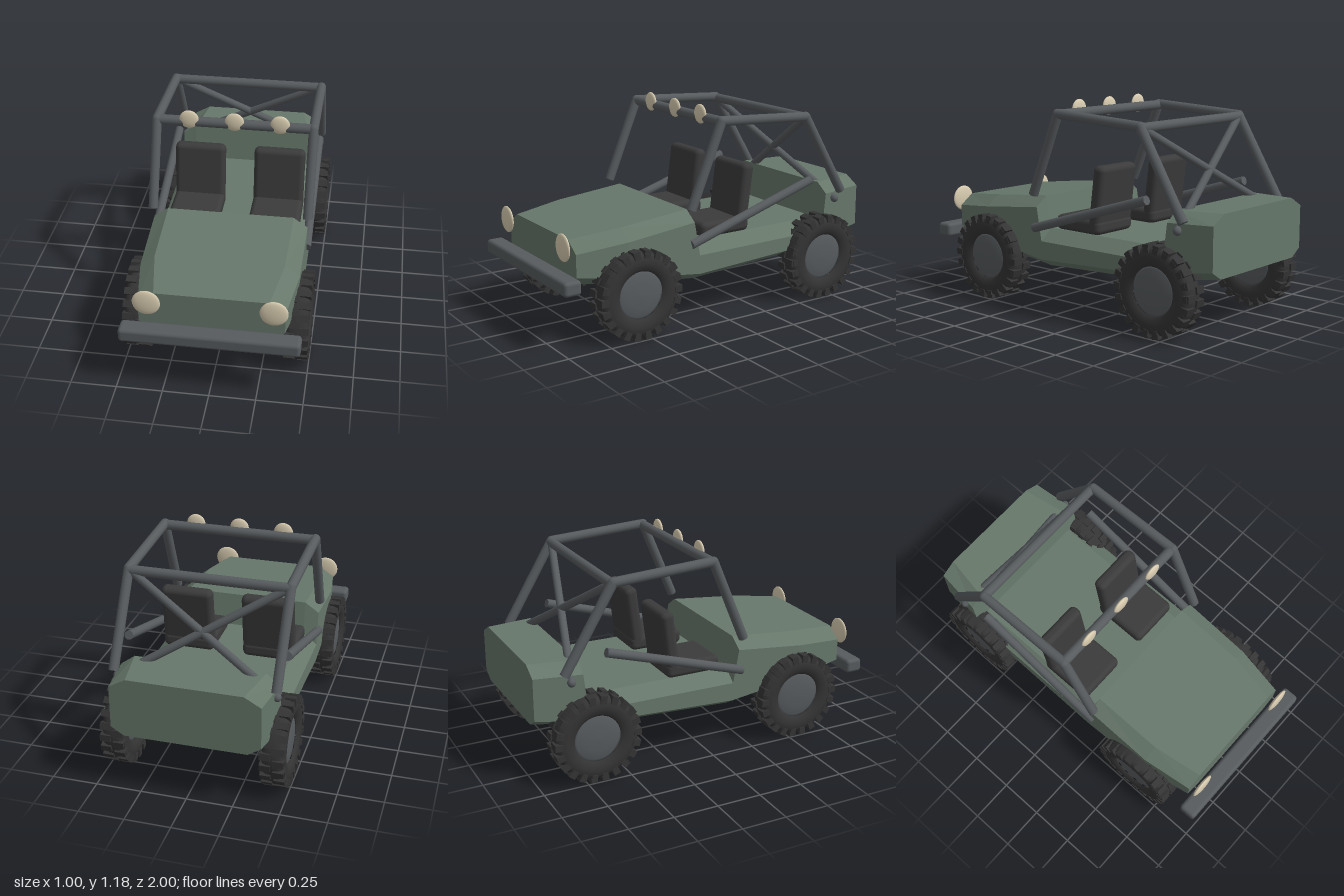
import * as THREE from 'three';
import { mergeGeometries } from 'three/addons/utils/BufferGeometryUtils.js';
import { RoundedBoxGeometry } from 'three/addons/geometries/RoundedBoxGeometry.js';

const mat = (name, color, extra = {}) => {
  const m = new THREE.MeshStandardMaterial({ color, ...extra });
  m.name = name;
  return m;
};

export function createModel() {
  const green = mat('body green', 0x66776a, { flatShading: true });
  const metal = mat('tube grey', 0x575b5e);
  const rubber = mat('tyre black', 0x343434);
  const fabric = mat('seat charcoal', 0x3b3b3b);
  const glass = mat('lamp cream', 0xd8ccb0);

  const model = new THREE.Group();
  model.name = 'offRoadBuggy';
  const add = (name, geo, material, x = 0, y = 0, z = 0, parent = model) => {
    const m = new THREE.Mesh(geo, material);
    m.name = name;
    m.position.set(x, y, z);
    parent.add(m);
    return m;
  };

  // Body: eight-sided sections lofted from nose to tail
  // z, half width, top half width, top y, shoulder y, lower edge y, floor half width, floor y
  const sections = [
    [0.885, 0.385, 0.30, 0.56, 0.50, 0.375, 0.30, 0.32],
    [0.60, 0.43, 0.35, 0.592, 0.53, 0.335, 0.345, 0.285],
    [0.19, 0.435, 0.355, 0.632, 0.575, 0.285, 0.36, 0.24],
    [0.155, 0.435, 0.355, 0.45, 0.385, 0.28, 0.36, 0.235],
    [-0.45, 0.435, 0.355, 0.455, 0.39, 0.31, 0.36, 0.265],
    [-0.71, 0.435, 0.355, 0.455, 0.39, 0.335, 0.35, 0.29],
    [-0.735, 0.43, 0.355, 0.66, 0.605, 0.34, 0.35, 0.295],
    [-1.0, 0.40, 0.31, 0.666, 0.615, 0.38, 0.33, 0.335],
  ];
  const rings = sections.map(([z, w, t, top, sh, low, b, bot]) =>
    [[-b, bot], [b, bot], [w, low], [w, sh], [t, top], [-t, top], [-w, sh], [-w, low]]
      .map(([x, y]) => [x, y, z]));
  const pos = [];
  for (let s = 0; s < rings.length - 1; s++) {
    for (let i = 0; i < 8; i++) {
      const j = (i + 1) % 8, a = rings[s], b = rings[s + 1];
      pos.push(...a[i], ...b[i], ...a[j], ...a[j], ...b[i], ...b[j]);
    }
  }
  const nose = rings[0], tail = rings[rings.length - 1];
  for (let i = 1; i < 7; i++) {
    pos.push(...nose[0], ...nose[i], ...nose[i + 1]);
    pos.push(...tail[0], ...tail[i + 1], ...tail[i]);
  }
  const bodyGeo = new THREE.BufferGeometry();
  bodyGeo.setAttribute('position', new THREE.Float32BufferAttribute(pos, 3));
  bodyGeo.computeVertexNormals();
  add('body', bodyGeo, green);

  // Front bumper
  add('frontBumper', new RoundedBoxGeometry(0.95, 0.08, 0.1, 3, 0.02), metal, 0, 0.352, 0.95);

  // Headlights and roof lamps: flattened domes
  const lamp = (name, r, x, y, z) =>
    add(name, new THREE.SphereGeometry(r, 24, 16), glass, x, y, z).scale.set(1, 1, 0.016 / r);
  for (const s of [-1, 1]) lamp('headlight', 0.074, s * 0.33, 0.532, 0.93);
  for (const x of [-0.252, 0, 0.252]) lamp('roofLamp', 0.054, x, 1.123, 0.032);

  // Roll cage
  const cage = new THREE.Group();
  cage.name = 'rollCage';
  model.add(cage);
  const up = new THREE.Vector3(0, 1, 0);
  const tube = (name, from, to, r) => {
    const a = new THREE.Vector3(...from), d = new THREE.Vector3(...to).sub(a);
    const m = add(name, new THREE.CylinderGeometry(r, r, d.length(), 16), metal, 0, 0, 0, cage);
    m.position.copy(a).addScaledVector(d, 0.5);
    m.quaternion.setFromUnitVectors(up, d.normalize());
  };
  const X = 0.435, R = 0.027;
  for (const s of [-1, 1]) {
    const front = [s * X, 1.108, 0.02], rear = [s * X, 1.077, -0.56];
    tube('frontPost', [s * X, 0.645, 0.213], front, R);
    tube('roofRail', front, rear, R);
    tube('rearPost', rear, [s * X, 0.615, -0.84], R);
    tube('sideBar', [s * X, 0.455, 0.21], [s * X, 0.705, -0.605], 0.025);
    tube('crossBrace', [s * 0.42, 1.065, -0.565], [-s * 0.43, 0.57, -0.8], 0.022);
    for (const p of [front, rear]) add('joint', new THREE.SphereGeometry(R, 16, 12), metal, ...p, cage);
    add('braceEnd', new THREE.SphereGeometry(0.023, 16, 12), metal, s * 0.43, 0.57, -0.8, cage);
  }
  tube('frontRoofBar', [-X, 1.103, 0.015], [X, 1.103, 0.015], 0.028);
  tube('rearRoofBar', [-X, 1.07, -0.565], [X, 1.07, -0.565], 0.027);

  // Seats
  for (const s of [-1, 1]) {
    const seat = new THREE.Group();
    seat.name = 'seat';
    seat.position.x = s * 0.232;
    model.add(seat);
    add('seatCushion', new RoundedBoxGeometry(0.295, 0.085, 0.32, 3, 0.03), fabric, 0, 0.497, -0.06, seat);
    add('seatBack', new RoundedBoxGeometry(0.295, 0.37, 0.075, 3, 0.03), fabric, 0, 0.652, -0.195, seat)
      .rotation.x = -0.13;
  }

  // Wheels: rounded tyre, hub and two staggered rows of tread blocks
  const tyreGeo = new THREE.LatheGeometry([
    [0.13, -0.045], [0.145, -0.058], [0.175, -0.065], [0.205, -0.062], [0.226, -0.05], [0.235, -0.03],
    [0.237, 0], [0.235, 0.03], [0.226, 0.05], [0.205, 0.062], [0.175, 0.065], [0.145, 0.058], [0.13, 0.045],
  ].map(p => new THREE.Vector2(...p)), 48);
  const hubGeo = new THREE.LatheGeometry([
    [0, -0.052], [0.07, -0.05], [0.12, -0.042], [0.136, -0.034],
    [0.136, 0.034], [0.12, 0.042], [0.07, 0.05], [0, 0.052],
  ].map(p => new THREE.Vector2(...p)), 40);
  const blocks = [];
  const count = 22;
  for (const side of [-1, 1]) {
    for (let i = 0; i < count; i++) {
      const angle = (i + (side > 0 ? 0.5 : 0)) * Math.PI * 2 / count;
      blocks.push(new THREE.BoxGeometry(0.024, 0.058, 0.038).translate(0.234, side * 0.036, 0).rotateY(angle));
      // shoulder lug
      blocks.push(new THREE.BoxGeometry(0.03, 0.012, 0.034).translate(0.217, side * 0.061, 0).rotateY(angle));
    }
  }
  const treadGeo = mergeGeometries(blocks);
  for (const s of [-1, 1]) {
    for (const [name, z] of [['frontWheel', 0.557], ['rearWheel', -0.682]]) {
      const wheel = new THREE.Group();
      wheel.name = name;
      wheel.position.set(s * 0.433, 0.248, z);
      wheel.rotation.z = -s * Math.PI / 2;
      model.add(wheel);
      add('tyre', tyreGeo, rubber, 0, 0, 0, wheel);
      add('tread', treadGeo, rubber, 0, 0, 0, wheel);
      add('hub', hubGeo, metal, 0, 0, 0, wheel);
    }
  }
  return model;
}
